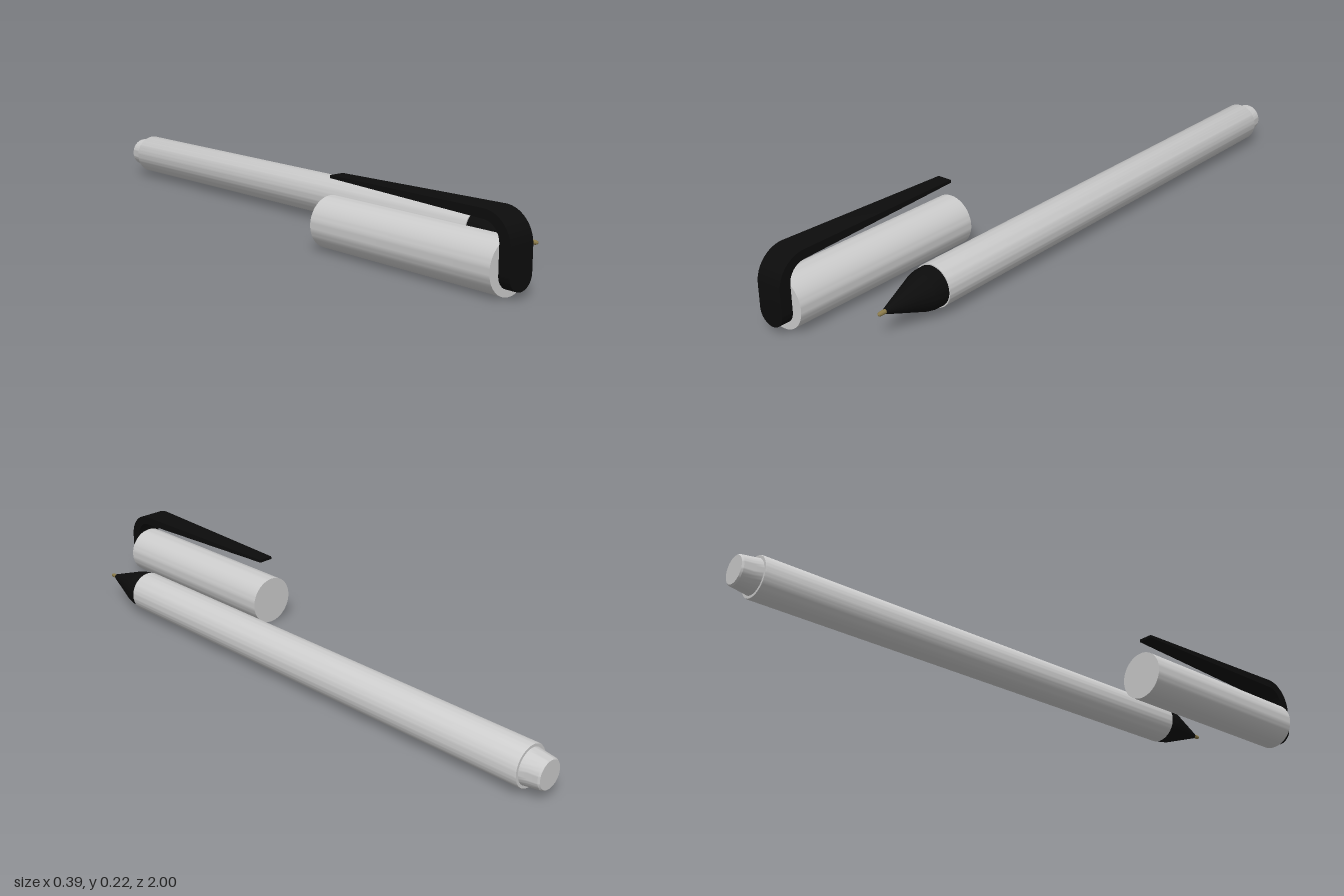
import * as THREE from 'three';
import { toCreasedNormals } from 'three/addons/utils/BufferGeometryUtils.js';

const grey = new THREE.MeshStandardMaterial({ color: 0xcccccc });
const black = new THREE.MeshStandardMaterial({ color: 0x0c0c0c });
const brass = new THREE.MeshStandardMaterial({ color: 0x8a7a4a });

// Solid of revolution along z from [radius, z] pairs, ordered back to front
function turned(name, profile, material, segments = 64) {
  const points = profile.map(([r, z]) => new THREE.Vector2(r, z));
  const geometry = new THREE.LatheGeometry(points, segments).rotateX(Math.PI / 2);
  const mesh = new THREE.Mesh(toCreasedNormals(geometry, 0.5), material);
  mesh.name = name;
  return mesh;
}

// Skin four-cornered sections; each is { outer: [z, y], inner: [z, y], w: half width }
function sweptStrip(sections) {
  const position = [];
  const index = [];
  for (const { outer, inner, w } of sections) {
    position.push(-w, outer[1], outer[0], w, outer[1], outer[0]);
    position.push(w, inner[1], inner[0], -w, inner[1], inner[0]);
  }
  const quad = (a, b, c, d) => index.push(a, b, c, a, c, d);
  for (let i = 0; i < sections.length - 1; i++) {
    for (let k = 0; k < 4; k++) {
      const n = (k + 1) % 4;
      quad(4 * i + k, 4 * i + n, 4 * i + 4 + n, 4 * i + 4 + k);
    }
  }
  const last = 4 * (sections.length - 1);
  quad(3, 2, 1, 0);
  quad(last, last + 1, last + 2, last + 3);
  const geometry = new THREE.BufferGeometry();
  geometry.setAttribute('position', new THREE.Float32BufferAttribute(position, 3));
  geometry.setIndex(index);
  return toCreasedNormals(geometry, 0.5);
}

function createClip() {
  const half = 0.043;
  const sections = [];
  // Rounded foot flat against the cap end
  for (let i = 0; i <= 16; i++) {
    const a = (i / 16) * Math.PI / 2;
    const y = 0.063 - half * Math.cos(a);
    sections.push({ outer: [1, y], inner: [0.964, y], w: Math.max(half * Math.sin(a), 0.0005) });
  }
  // Bend from the foot over to the arm
  for (let i = 0; i <= 16; i++) {
    const a = (i / 16) * Math.PI / 2;
    const c = Math.cos(a), s = Math.sin(a);
    sections.push({
      outer: [0.91 + 0.09 * c, 0.133 + 0.09 * s],
      inner: [0.91 + 0.054 * c, 0.142 + 0.054 * s],
      w: half,
    });
  }
  // Arm, thinning and narrowing to its free end
  sections.push({ outer: [0.332, 0.218], inner: [0.332, 0.209], w: 0.024 });
  const clip = new THREE.Mesh(sweptStrip(sections), black);
  clip.name = 'clip';
  return clip;
}

export function createModel() {
  const model = new THREE.Group();
  model.name = 'penWithCap';

  // Pen lying along z with its point to the front
  const pen = new THREE.Group();
  pen.name = 'pen';
  pen.position.set(0.129, 0.077, 0);
  pen.add(
    turned('barrel', [[0, -0.94], [0.062, -0.94], [0.0635, -0.937], [0.0635, 0.652], [0, 0.652]], grey),
    turned('endPlug', [[0, -1], [0.042, -1], [0.046, -0.995], [0.05, -0.965], [0.054, -0.938], [0, -0.938]], grey),
    turned('grip', [[0, 0.65], [0.06, 0.65], [0.059, 0.68], [0.055, 0.7], [0.01, 0.825], [0.008, 0.83], [0, 0.83]], black),
    turned('tip', [[0, 0.82], [0.0065, 0.82], [0.0065, 0.847], [0.005, 0.853], [0, 0.857]], brass, 24),
  );

  // Cap with its clip, lying beside the pen
  const cap = new THREE.Group();
  cap.name = 'cap';
  cap.position.x = -0.117;
  const shell = turned('capShell', [[0, 0.307], [0.0765, 0.307], [0.0765, 0.964], [0, 0.964]], grey);
  shell.position.y = 0.0765;
  cap.add(shell, createClip());

  model.add(pen, cap);
  return model;
}
